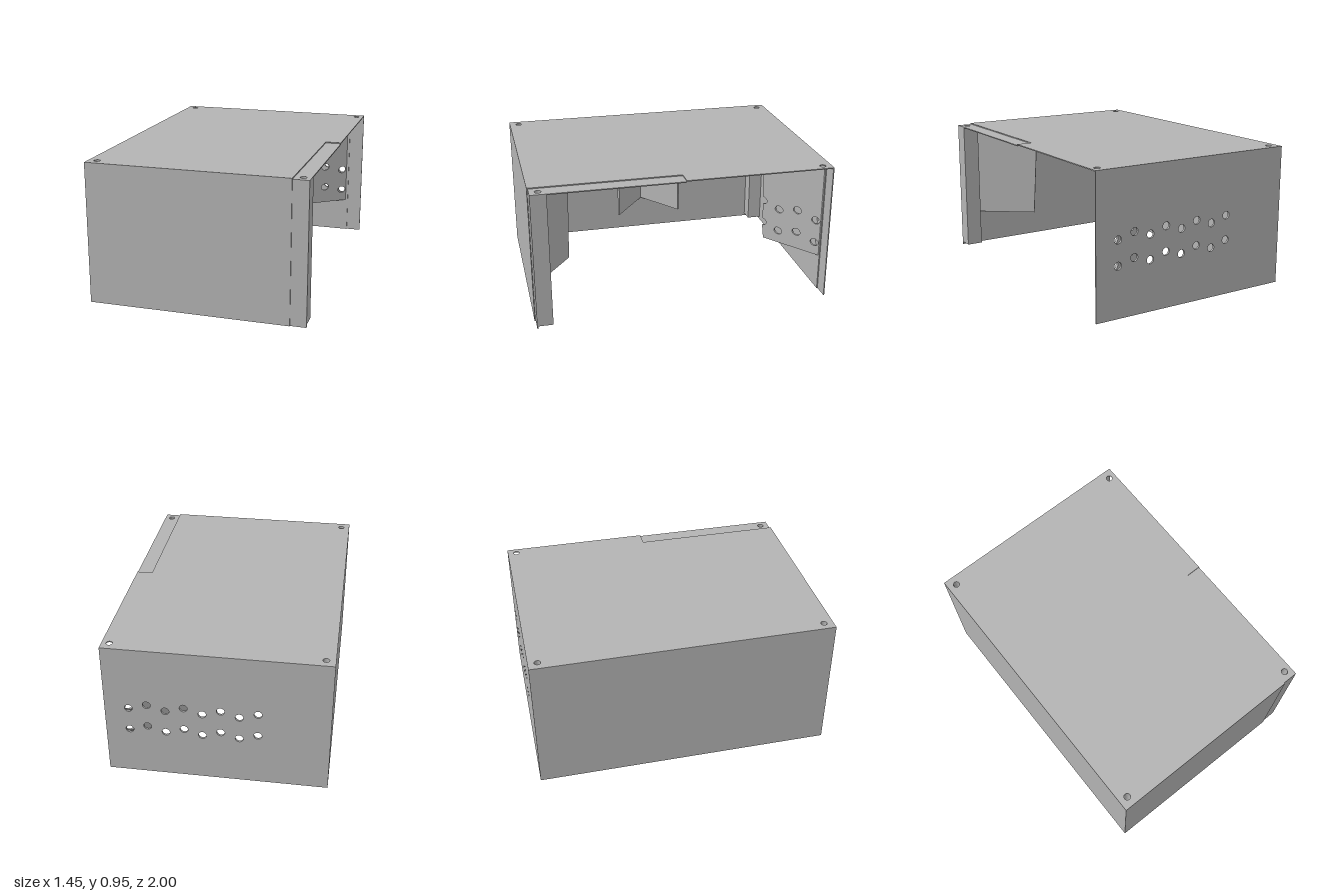
import * as THREE from 'three';

const W = 0.725, H = 0.948, T = 0.014, h = T / 2; // half width, height, wall and half-wall thickness
const LAP = 0.62;                                 // laps along the open side start here

const grey = new THREE.MeshStandardMaterial({ color: 0xb3b3b3 });
grey.name = 'grey plastic';

const rect = (x0, y0, x1, y1) => new THREE.Shape([[x0, y0], [x1, y0], [x1, y1], [x0, y1]]
  .map(([x, y]) => new THREE.Vector2(x, y)));

function hole(shape, x, y, rx, ry = rx) {
  const p = new THREE.Path();
  p.absellipse(x, y, rx, ry, 0, Math.PI * 2, true);
  shape.holes.push(p);
}

const extrude = (shape, depth) =>
  new THREE.ExtrudeGeometry(shape, { depth, bevelEnabled: false, curveSegments: 12 });

// plate lying flat: shape y becomes z, spanning y0..y1
function flat(shape, y0, y1) {
  return extrude(shape, y1 - y0).rotateX(Math.PI / 2).translate(0, y1, 0);
}

export function createModel() {
  const model = new THREE.Group();
  model.name = 'enclosure';
  const add = (name, geometry, parent = model) => {
    const mesh = new THREE.Mesh(geometry, grey);
    mesh.name = name;
    parent.add(mesh);
    return mesh;
  };

  // screw positions: x, z
  const screws = [[-0.665, -0.938], [-0.665, 0.936], [0.675, -0.938], [0.675, 0.936]];

  // lid in two layers, stepped outside at the front half and inside at the back half
  const poly = pts => new THREE.Shape(pts.map(([x, z]) => new THREE.Vector2(x, z)));
  const upper = poly([[-W, -1], [W, -1], [W, 0], [LAP, 0], [LAP, 1], [-W, 1]]);
  const lower = poly([[-W, h - 1], [LAP, h - 1], [LAP, 0], [W, 0], [W, 1 - h], [-W, 1 - h]]);
  screws.forEach(([x, z], i) => {
    if (i !== 3) hole(upper, x, z, 0.021);
    if (i !== 2) hole(lower, x, z, 0.021);
  });
  add('lidOuterLayer', flat(upper, H - h, H));
  add('lidInnerLayer', flat(lower, H - T, H - h));

  // front wall, stepped on the outside
  add('frontWallOuterLayer', extrude(rect(-W, 0, LAP, H - h), h).translate(0, 0, 1 - h));
  add('frontWallInnerLayer', extrude(rect(-W, 0, W, H - T), h).translate(0, 0, 1 - T));

  // closed side wall
  add('sideWall', extrude(rect(-W, 0, T - W, H - T), 2 - 2 * T).translate(0, 0, T - 1));

  // back wall with staggered vent holes, stepped on the inside
  const R = 0.026;
  const vents = [];
  for (let i = 0; i < 8; i++) {
    for (const y of [0.34, 0.505]) vents.push([0.568 - 0.119 * i, y + (i % 2) * 0.035]);
  }
  const backOuter = rect(-W, 0, W, H - h), backInner = rect(-W, 0, LAP, H - T);
  for (const [x, y] of vents) {
    hole(backOuter, x, y, R);
    hole(backInner, x, y, R);
  }
  add('backWallOuterLayer', extrude(backOuter, h).translate(0, 0, -1));
  add('backWallInnerLayer', extrude(backInner, h).translate(0, 0, h - 1));

  // V-shaped partition: two notched panels from the middle of the side wall to the open corners
  const slope = 1.325, k = Math.hypot(slope, 1), apexX = -0.715;
  for (const side of [1, -1]) {
    const s = new THREE.Shape();
    const rs = R * k / slope;
    s.moveTo(0, 0.25);
    s.lineTo(0.235 * k, 0.25);
    s.lineTo(0.235 * k, 0.74);
    s.lineTo(0.70 * k, 0.74);
    if (side < 0) { // vent holes bite into the edge of the notch
      for (const y of [0.54, 0.375]) s.absellipse(0.707 * k, y, rs, R, Math.PI / 2, -Math.PI / 2, true);
    }
    s.lineTo(0.715 * k, 0.25);
    s.lineTo(0.992 * k, 0.25);
    s.lineTo(0.992 * k, H - T);
    s.lineTo(0, H - T);
    if (side < 0) {
      for (const [x, y] of vents.slice(0, 6)) hole(s, (x - apexX) / slope * k, y, rs, R);
    }
    const panel = add(side > 0 ? 'frontPartition' : 'backPartition', extrude(s, T).translate(0, 0, -h));
    panel.position.x = apexX;
    panel.rotation.y = -side * Math.atan2(1, slope);
  }

  // corner posts with a screw hole and a hexagonal nut pocket at the foot
  const P = 0.113;
  [['backSidePost', 0], ['frontSidePost', 1], ['frontOpenPost', 3]].forEach(([name, i]) => {
    const [x, z] = screws[i];
    const post = new THREE.Group();
    post.name = name;
    const outline = () => {
      const x0 = x < 0 ? T - W : W - P, x1 = x < 0 ? P - W : W;
      return z < 0 ? rect(x0, T - 1, x1, P - 1) : rect(x0, 1 - P, x1, 1 - T);
    };
    const foot = outline(), shaft = outline();
    foot.holes.push(new THREE.Path(Array.from({ length: 6 }, (_, j) => new THREE.Vector2(
      x + 0.041 * Math.cos(j * Math.PI / 3), z + 0.041 * Math.sin(j * Math.PI / 3)))));
    hole(shaft, x, z, 0.021);
    add('nutPocket', flat(foot, 0.02, 0.06), post);
    add('postShaft', flat(shaft, 0.06, H - T), post);
    model.add(post);
  });

  return model;
}
